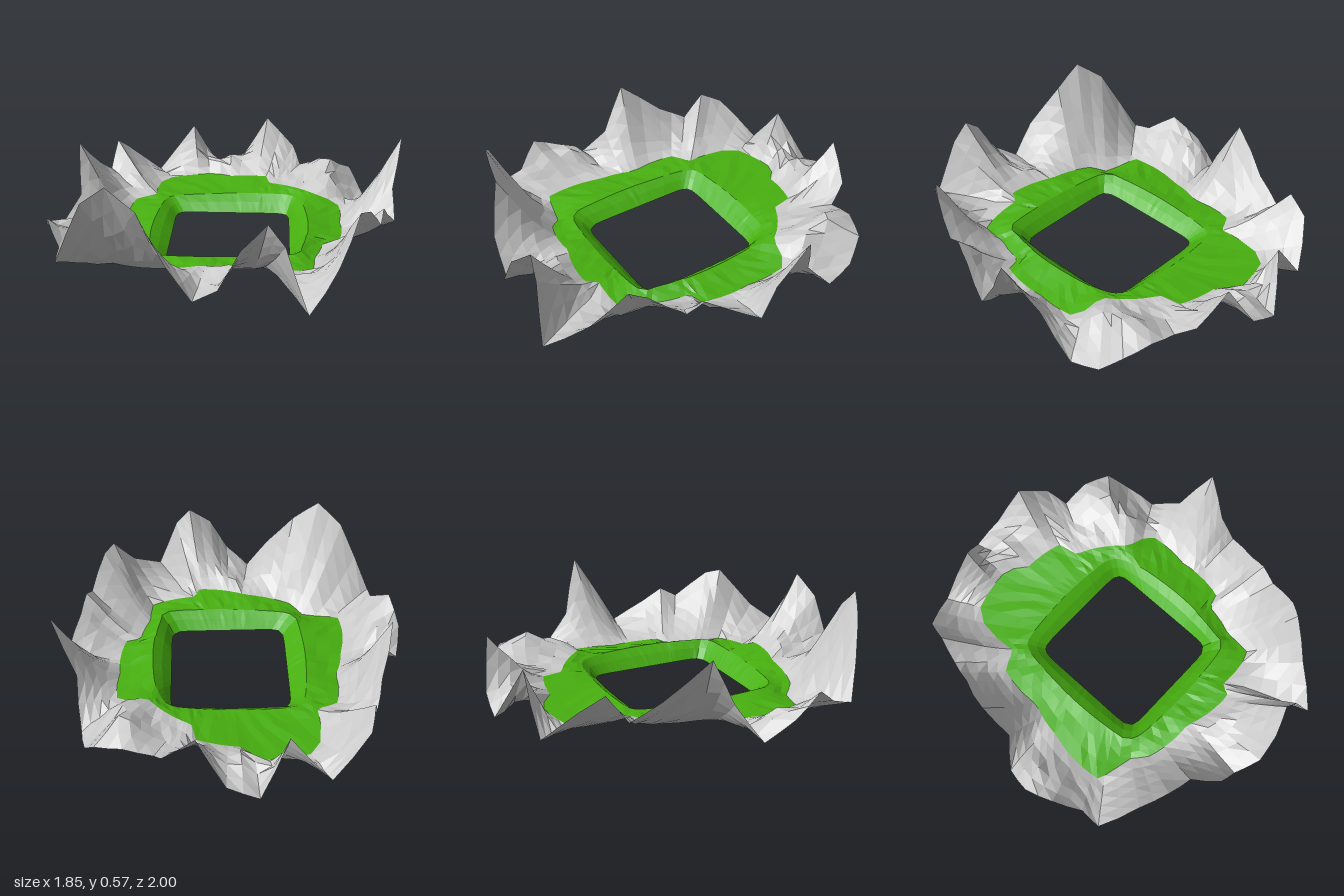
import * as THREE from 'three';

// Outer crest of the ring: x, z, height
const CREST = [
  [-0.10, -1.0, 0.05], [0.06, -0.99, 0.12], [0.20, -0.93, 0.37], [0.36, -0.88, 0.21],
  [0.40, -0.78, 0.13], [0.55, -0.77, 0.17], [0.69, -0.72, 0.14], [0.75, -0.62, 0.04],
  [0.78, -0.46, 0], [0.80, -0.28, 0.22], [0.92, -0.17, 0.51], [0.87, -0.03, 0.27],
  [0.88, 0.06, 0.12], [0.82, 0.23, 0.23], [0.79, 0.33, 0.3], [0.77, 0.42, 0.25],
  [0.70, 0.59, 0.39], [0.65, 0.66, 0.41], [0.55, 0.82, 0.2], [0.41, 1.0, 0.05],
  [0.30, 0.95, 0.36], [0.22, 0.93, 0.46], [0.10, 0.98, 0.35], [0, 0.99, 0.16],
  [-0.12, 0.93, 0.07], [-0.24, 0.92, 0.24], [-0.38, 0.82, 0.46], [-0.52, 0.8, 0.57],
  [-0.65, 0.73, 0.46], [-0.81, 0.6, 0.1], [-0.81, 0.49, 0.13], [-0.89, 0.36, 0.23],
  [-0.93, 0.2, 0.13], [-0.90, 0.05, 0.03], [-0.79, -0.05, 0.2], [-0.81, -0.18, 0.45],
  [-0.74, -0.4, 0.26], [-0.70, -0.55, 0.17], [-0.67, -0.65, 0.31], [-0.64, -0.77, 0.24],
  [-0.45, -0.89, 0.05], [-0.24, -0.89, 0.33],
];

// Foot of the mountains, where the grass ends: x, z, height
const FOOT = [
  [-0.40, -0.70, 0.055], [-0.08, -0.76, 0.07], [-0.06, -0.68, 0.08], [0.20, -0.64, 0.1],
  [0.22, -0.53, 0.1], [0.45, -0.34, 0.12], [0.60, -0.31, 0.07], [0.60, -0.07, 0.055],
  [0.58, 0.20, 0.06], [0.50, 0.22, 0.06], [0.45, 0.40, 0.055], [0.44, 0.55, 0.055],
  [0.20, 0.57, 0.09], [0.17, 0.63, 0.1], [-0.10, 0.58, 0.09], [-0.35, 0.54, 0.05],
  [-0.43, 0.46, 0.015], [-0.62, 0.42, 0.03], [-0.60, 0.10, 0.035], [-0.55, -0.10, 0.04],
  [-0.53, -0.35, 0.06], [-0.42, -0.40, 0.07],
];

// Small hills between foot and crest: x, z, extra height, radius
const HILLS = [
  [0.55, -0.62, 0.1, 0.1], [0.55, -0.45, 0.07, 0.09], [0, 0.68, 0.04, 0.08],
  [-0.82, 0.15, 0.07, 0.09], [-0.03, -0.83, 0.09, 0.1],
];

const TAU = Math.PI * 2;
const byAngle = (list) => list
  .map(([x, z, y]) => ({ a: Math.atan2(z, x), r: Math.hypot(x, z), y }))
  .sort((p, q) => p.a - q.a);

// Radius and height of a closed loop at a given angle
function sampleLoop(loop, a) {
  const n = loop.length;
  let i = loop.findIndex((p) => p.a > a);
  if (i < 0) i = n;
  const p = loop[(i - 1 + n) % n], q = loop[i % n];
  const span = (q.a - p.a + TAU) % TAU;
  const t = ((a - p.a + TAU) % TAU) / span;
  return { r: THREE.MathUtils.lerp(p.r, q.r, t), y: THREE.MathUtils.lerp(p.y, q.y, t) };
}

// Rounded square opening in the middle
function holePoint(a) {
  const c = Math.cos(a), s = Math.sin(a);
  const r = 1 / Math.pow(Math.pow(Math.abs(c) / 0.315, 12) + Math.pow(Math.abs(s) / 0.335, 12), 1 / 12);
  return new THREE.Vector3(0.015 + r * c, 0, 0.025 + r * s);
}

function makeNoise(seed) {
  return () => {
    seed = (seed * 16807) % 2147483647;
    return seed / 2147483647 - 0.5;
  };
}

// Closed band of quads through rows of points
function bandMesh(name, rows, color) {
  const n = rows[0].length;
  const index = [];
  for (let j = 0; j < rows.length - 1; j++) {
    for (let i = 0; i < n; i++) {
      const k = (i + 1) % n;
      const a = j * n + i, b = j * n + k, c = a + n, d = b + n;
      index.push(a, b, c, b, d, c);
    }
  }
  const geometry = new THREE.BufferGeometry().setFromPoints(rows.flat());
  geometry.setIndex(index);
  geometry.computeVertexNormals();
  const mesh = new THREE.Mesh(geometry, new THREE.MeshStandardMaterial({
    color, flatShading: true, side: THREE.DoubleSide,
  }));
  mesh.name = name;
  return mesh;
}

export function createModel() {
  const noise = makeNoise(71);
  const crest = byAngle(CREST), foot = byAngle(FOOT);

  // One column per crest point plus one halfway to the next
  const angles = [];
  crest.forEach((p, i) => {
    const next = i + 1 < crest.length ? crest[i + 1].a : crest[0].a + TAU;
    const mid = (p.a + next) / 2;
    angles.push(p.a, mid > Math.PI ? mid - TAU : mid);
  });
  const loopRow = (loop) => angles.map((a) => {
    const { r, y } = sampleLoop(loop, a);
    return new THREE.Vector3(r * Math.cos(a), y, r * Math.sin(a));
  });
  const holeRow = angles.map(holePoint);
  const footRow = loopRow(foot);
  const crestRow = loopRow(crest);

  // Bank top, a fixed step out from the opening
  const bankRow = holeRow.map((p, i) => {
    const v = p.clone().lerp(footRow[i], Math.min(0.5, 0.1 / p.distanceTo(footRow[i])));
    v.y = 0.08 + 0.03 * v.x;
    return v;
  });

  // Rows between two loops, with a height rule and slight roughness
  const blend = (from, to, t, lift, rough) => from.map((p, i) => {
    const v = p.clone().lerp(to[i], t);
    v.y = Math.max(0, THREE.MathUtils.lerp(p.y, to[i].y, lift) + noise() * rough);
    return v;
  });

  // Grass: steep bank at the opening, then a gently dipping shelf
  const grass = [
    holeRow,
    blend(holeRow, bankRow, 0.5, 0.58, 0.004),
    bankRow,
    blend(bankRow, footRow, 0.33, 0.4, 0.01),
    blend(bankRow, footRow, 0.67, 0.8, 0.01),
    footRow,
  ];

  // Mountains: slopes that steepen towards the open outer crest
  const rock = [footRow];
  for (const t of [0.2, 0.4, 0.6, 0.8]) {
    const row = blend(footRow, crestRow, t, Math.pow(t, 1.3), 0.015);
    for (const v of row) {
      for (const [x, z, h, r] of HILLS) {
        v.y += h * Math.exp(-((v.x - x) ** 2 + (v.z - z) ** 2) / (r * r));
      }
    }
    rock.push(row);
  }
  rock.push(crestRow);

  const group = new THREE.Group();
  group.name = 'mountainRing';
  group.add(bandMesh('grassShelf', grass, 0x48b010), bandMesh('mountains', rock, 0xcccccc));
  return group;
}
